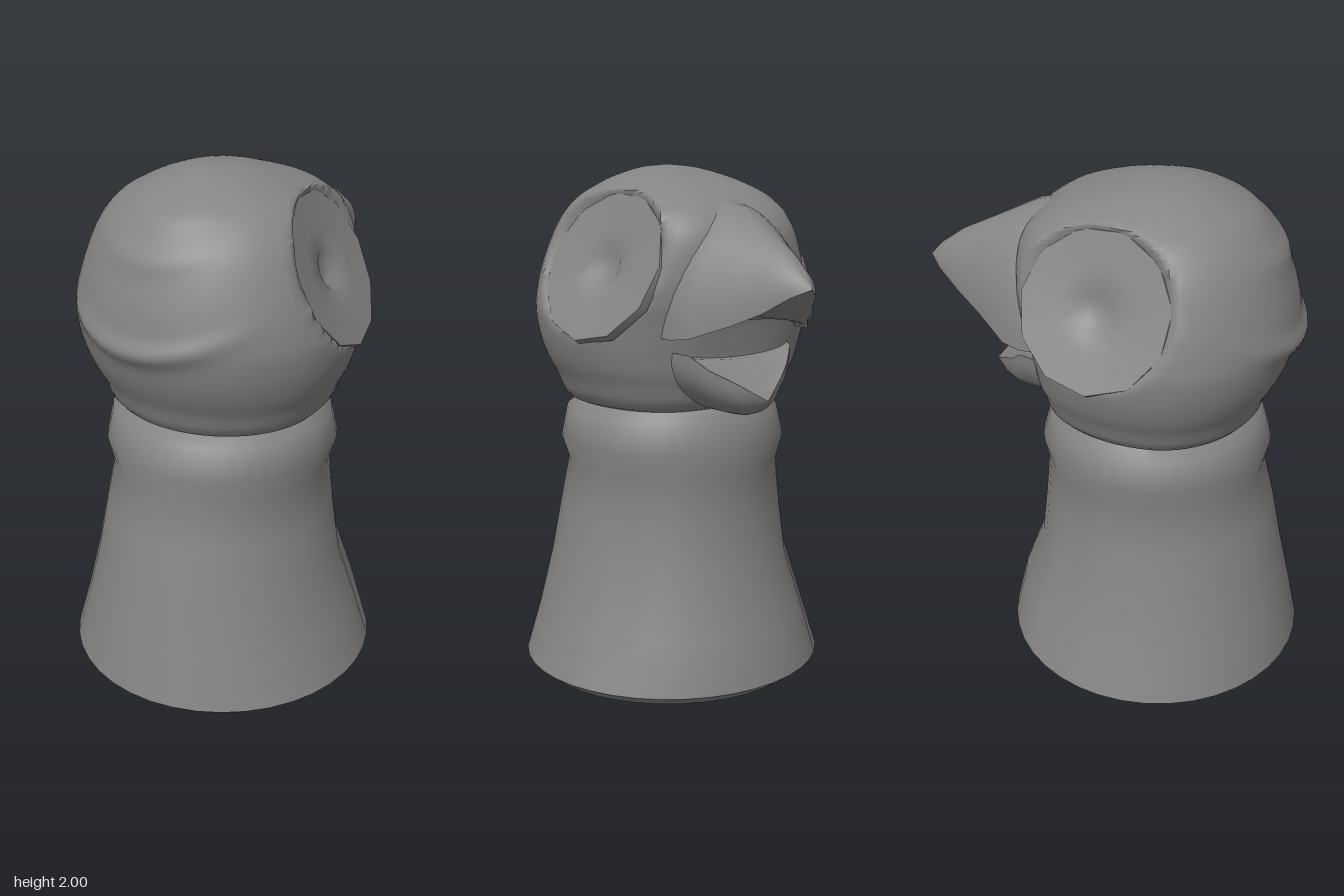
import * as THREE from 'three';
import { toCreasedNormals } from 'three/addons/utils/BufferGeometryUtils.js';

const material = new THREE.MeshStandardMaterial({ color: 0x848484, side: THREE.DoubleSide });
const eyeCentre = new THREE.Vector3(0.385, 1.64, 0);
const eyeNormal = new THREE.Vector3(0.885, 0.416, -0.2).normalize();

// Skin a list of closed rings (equal point counts) with quads.
function loft(name, rings, crease = 0.9) {
  const n = rings[0].length, index = [];
  for (let i = 0; i < rings.length - 1; i++) {
    for (let j = 0; j < n; j++) {
      const a = i * n + j, b = i * n + (j + 1) % n;
      index.push(a, a + n, b, b, a + n, b + n);
    }
  }
  const geo = new THREE.BufferGeometry().setFromPoints(rings.flat());
  geo.setIndex(index);
  const mesh = new THREE.Mesh(toCreasedNormals(geo, crease), material);
  mesh.name = name;
  return mesh;
}

// Ring from a function of the angle.
const ring = (n, f) => Array.from({ length: n }, (_, j) => f(j / n * Math.PI * 2));

// Horizontal ring: half width, front (-z) and back (+z) reach around a middle z.
// A frontPower below 1 makes the front half fuller.
function levelRing(n, y, w, front, back, mid, frontPower = 1) {
  return ring(n, a => {
    const s = Math.sin(a), c = Math.cos(a);
    const x = s < 0 ? Math.sign(c) * Math.pow(Math.abs(c), frontPower) : c;
    return new THREE.Vector3(w * x, y, mid + s * (s > 0 ? back - mid : mid - front));
  });
}

// Sink a point behind the slanted eye disc, rising gently again outside its rim.
function flattenEye(p) {
  const side = p.x < 0 ? -1 : 1;
  const rel = new THREE.Vector3(p.x * side, p.y, p.z).sub(eyeCentre);
  const depth = rel.dot(eyeNormal);
  const radial = rel.clone().addScaledVector(eyeNormal, -depth).length();
  const limit = radial < 0.25 ? -0.06 : (radial - 0.28) * 0.9;
  if (depth > limit) {
    rel.addScaledVector(eyeNormal, limit - depth).add(eyeCentre);
    p.set(Math.max(rel.x, 0) * side, rel.y, rel.z);
  }
  return p;
}

// Curved folds across the round side: height, half length, bulge.
const folds = [[1.45, 0.42, 0.028], [1.76, 0.24, 0.012], [1.89, 0.24, 0.012]];
function addFolds(p) {
  if (p.z < 0.2) return p;
  for (const [y, half, bulge] of folds) {
    const across = 1 - (p.x / half) ** 2;
    const up = (p.y - y - 0.7 * p.x * p.x) / 0.04;
    if (across > 0) p.z += bulge * across * Math.exp(-up * up);
  }
  return p;
}

function makeBody() {
  // y, half width, front z, back z
  const rows = [
    [0.01, 0, 0.15, 0.15], [0, 0.4, -0.25, 0.55], [0.015, 0.54, -0.38, 0.69], [0.06, 0.595, -0.44, 0.74],
    [0.26, 0.53, -0.395, 0.7], [0.48, 0.47, -0.315, 0.65], [0.68, 0.437, -0.295, 0.61],
    [0.86, 0.41, -0.28, 0.565], [0.95, 0.44, -0.3, 0.585], [1.07, 0.418, -0.265, 0.55],
    [1.12, 0.365, -0.23, 0.49], [1.1, 0, 0.15, 0.15]];
  const rings = rows.map(([y, w, f, b]) => {
    const pts = levelRing(40, y, w, f, b, (f + b) / 2);
    // shallow cloth fold down each side
    if (y > 0.2 && y < 0.7) for (const j of [36, 24]) pts[j].x *= 0.94;
    return pts;
  });
  return loft('body', rings, 0.8);
}

function makeHead() {
  // y, half width, front z, back z
  const rows = [
    [1.1, 0, 0.15, 0.15], [1.1, 0.36, -0.2, 0.49], [1.22, 0.455, -0.28, 0.575], [1.33, 0.503, -0.3, 0.63],
    [1.44, 0.523, -0.32, 0.66], [1.52, 0.517, -0.345, 0.662], [1.62, 0.495, -0.36, 0.642],
    [1.74, 0.45, -0.355, 0.6], [1.82, 0.405, -0.32, 0.555], [1.88, 0.35, -0.25, 0.495],
    [1.92, 0.285, -0.18, 0.44], [1.96, 0.2, -0.06, 0.36], [1.99, 0.1, 0.07, 0.27], [2, 0, 0.18, 0.18]];
  const spline = pick => new THREE.CatmullRomCurve3(rows.map(pick), false, 'catmullrom', 0.5);
  const heightWidth = spline(r => new THREE.Vector3(r[0], r[1], 0));
  const frontBack = spline(r => new THREE.Vector3(r[2], r[3], 0));
  const steps = (rows.length - 1) * 5, rings = [];
  for (let i = 0; i <= steps; i++) {
    const a = heightWidth.getPoint(i / steps), b = frontBack.getPoint(i / steps);
    rings.push(levelRing(80, a.x, a.y, b.x, b.y, 0.17, 0.7).map(p => flattenEye(addFolds(p))));
  }
  return loft('head', rings, 1.1);
}

// Beak half: rows of z, half width, bottom y, top y; the mouth side is slightly hollow.
function makeBeak(name, rows, upper) {
  const mouth = upper ? 2 : 3, direction = upper ? 1 : -1;
  const rings = rows.map(row => ring(36, a => {
    const c = Math.cos(a), s = Math.sin(a), h = row[3] - row[2];
    const rise = Math.abs(s) * h * (s * direction > 0 ? 1 : 0.12);
    const x = row[1] * Math.sign(c) * Math.pow(Math.abs(c), 1.15);
    return flattenEye(new THREE.Vector3(x, row[mouth] + direction * rise, row[0]));
  }));
  return loft(name, rings, 0.7);
}

// Dished round eye with a small dimple in the middle.
function makeEye(side) {
  const profile = [[0.295, -0.03], [0.29, 0.004], [0.16, -0.008], [0.075, -0.016], [0.04, -0.04], [0, -0.034]];
  const geo = new THREE.LatheGeometry(profile.map(([r, y]) => new THREE.Vector2(r, y)), 11);
  const mesh = new THREE.Mesh(toCreasedNormals(geo, 0.9), material);
  const normal = eyeNormal.clone();
  normal.x *= side;
  mesh.quaternion.setFromUnitVectors(new THREE.Vector3(0, 1, 0), normal);
  mesh.position.set(eyeCentre.x * side, eyeCentre.y, eyeCentre.z);
  mesh.name = side > 0 ? 'leftEye' : 'rightEye';
  return mesh;
}

export function createModel() {
  const group = new THREE.Group();
  group.name = 'birdPuppet';
  group.add(makeBody(), makeHead());
  group.add(makeBeak('upperBeak', [
    [-0.1, 0.28, 1.41, 1.88], [-0.24, 0.3, 1.4, 1.88], [-0.31, 0.295, 1.4, 1.865], [-0.38, 0.268, 1.408, 1.83],
    [-0.5, 0.17, 1.46, 1.77], [-0.6, 0.108, 1.51, 1.72], [-0.69, 0.055, 1.57, 1.655], [-0.74, 0, 1.6, 1.6]], true));
  group.add(makeBeak('lowerBeak', [
    [-0.1, 0.27, 1.115, 1.34], [-0.22, 0.28, 1.105, 1.35], [-0.33, 0.225, 1.105, 1.34], [-0.38, 0.175, 1.11, 1.29],
    [-0.44, 0.1, 1.13, 1.245], [-0.5, 0, 1.18, 1.18]], false));
  for (const side of [1, -1]) group.add(makeEye(side));
  return group;
}
